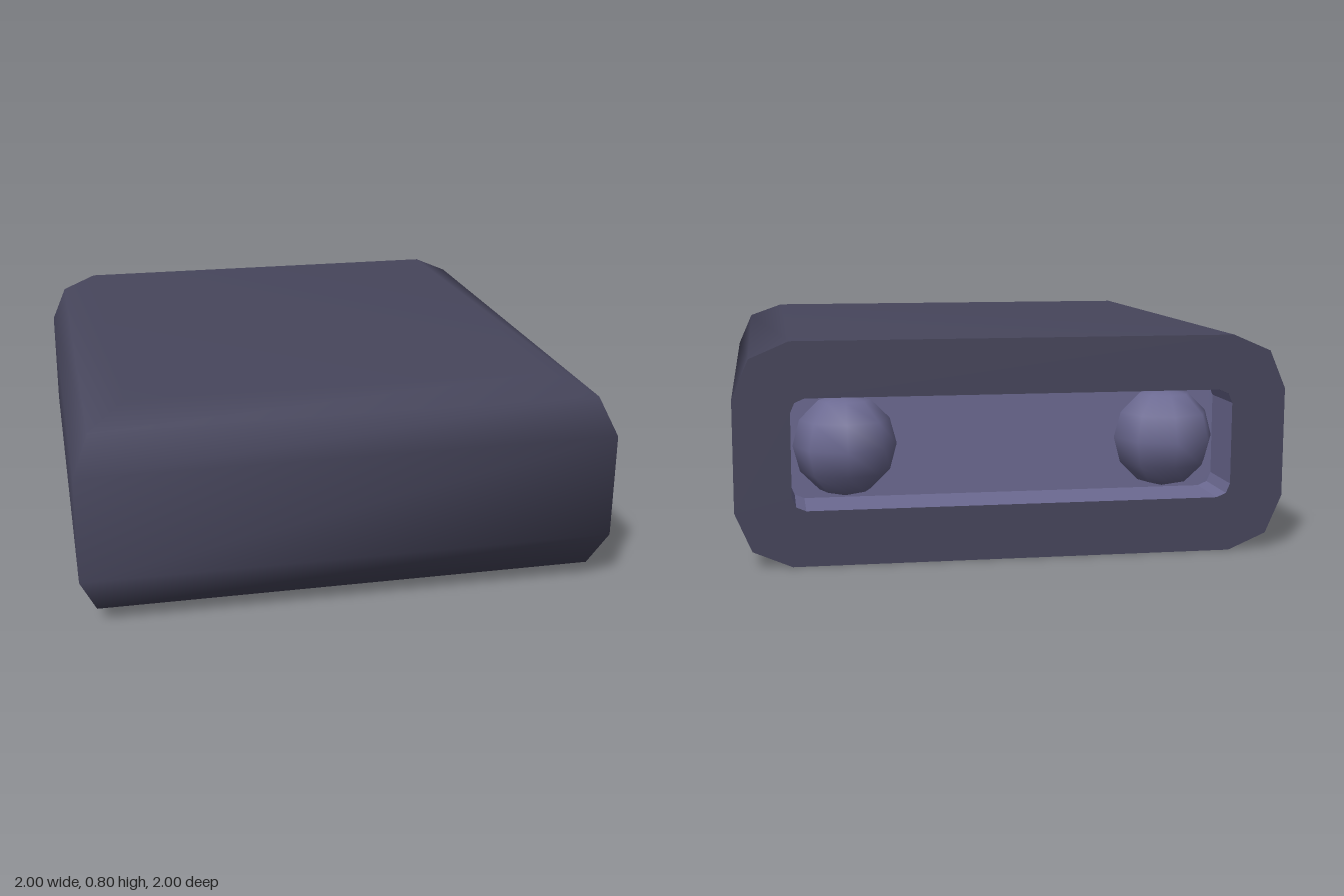
import * as THREE from 'three';

const shellMat = new THREE.MeshStandardMaterial({ color: 0x47465c });
shellMat.name = 'dark slate';
const cavityMat = new THREE.MeshStandardMaterial({ color: 0x6c6a92 });
cavityMat.name = 'soft violet';

const BACK = -1, DEPTH = 0.22;
// height and inset of each level of the rounded shell
const LEVELS = [[0, 0.2], [0.06, 0.06], [0.2, 0], [0.6, 0], [0.74, 0.06], [0.8, 0.2]];

function addMesh(group, name, geometry, material) {
  const mesh = new THREE.Mesh(geometry, material);
  mesh.name = name;
  group.add(mesh);
  return mesh;
}

function buildGeometry(positions, index) {
  const g = new THREE.BufferGeometry();
  g.setAttribute('position', new THREE.Float32BufferAttribute(positions, 3));
  if (index) g.setIndex(index);
  g.computeVertexNormals();
  return g;
}

// Smooth shell, open at the back, with mitred front corners
function shellGeometry() {
  const pos = [], index = [];
  for (const [y, inset] of LEVELS) {
    const w = 1 - inset;
    pos.push(-w, y, BACK, -w, y, w, w, y, w, w, y, BACK);
  }
  for (let l = 0; l < LEVELS.length - 1; l++) {
    for (let k = 0; k < 3; k++) {
      const a = l * 4 + k, b = a + 1;
      index.push(a, b, b + 4, a, b + 4, a + 4);
    }
  }
  const t = (LEVELS.length - 1) * 4;
  index.push(t, t + 1, t + 2, t, t + 2, t + 3, 0, 2, 1, 0, 3, 2);
  return buildGeometry(pos, index);
}

// Counter-clockwise outline of the opening with small cut corners
function openingPoints() {
  const x = 0.8, lo = 0.2, hi = 0.6, c = 0.05, m = 0.015;
  const right = [
    [x - c, lo], [x - m, lo + m], [x, lo + c],
    [x, hi - c], [x - m, hi - m], [x - c, hi],
  ];
  const left = right.map(([px, py]) => [-px, py]).reverse();
  return [...right, ...left].map(([px, py]) => new THREE.Vector2(px, py));
}

// Inward-facing walls of the recess
function recessWalls(points) {
  const pos = [], far = BACK + DEPTH;
  points.forEach((a, i) => {
    const b = points[(i + 1) % points.length];
    pos.push(a.x, a.y, BACK, a.x, a.y, far, b.x, b.y, far);
    pos.push(a.x, a.y, BACK, b.x, b.y, far, b.x, b.y, BACK);
  });
  return buildGeometry(pos);
}

export function createModel() {
  const model = new THREE.Group();
  model.name = 'recessedBlock';
  addMesh(model, 'outerShell', shellGeometry(), shellMat);

  // Flat back rim around the opening
  const half = LEVELS.map(([y, inset]) => [1 - inset, y]);
  const outline = [...half, ...half.map(([x, y]) => [-x, y]).reverse()];
  const rim = new THREE.Shape(outline.map(([x, y]) => new THREE.Vector2(x, y)));
  const opening = openingPoints();
  rim.holes.push(new THREE.Path(opening));
  addMesh(model, 'backRim', new THREE.ShapeGeometry(rim).rotateY(Math.PI).translate(0, 0, BACK), shellMat);

  // Recess
  addMesh(model, 'recessWalls', recessWalls(opening), cavityMat);
  const end = new THREE.ShapeGeometry(new THREE.Shape(opening));
  addMesh(model, 'recessEnd', end.rotateY(Math.PI).translate(0, 0, BACK + DEPTH), cavityMat);

  // Pair of low-poly balls set into the recess
  for (const side of [-1, 1]) {
    const ball = addMesh(model, side > 0 ? 'leftBall' : 'rightBall', new THREE.SphereGeometry(0.19, 8, 6), cavityMat);
    ball.position.set(side * 0.6, 0.4, -0.8);
  }
  return model;
}
